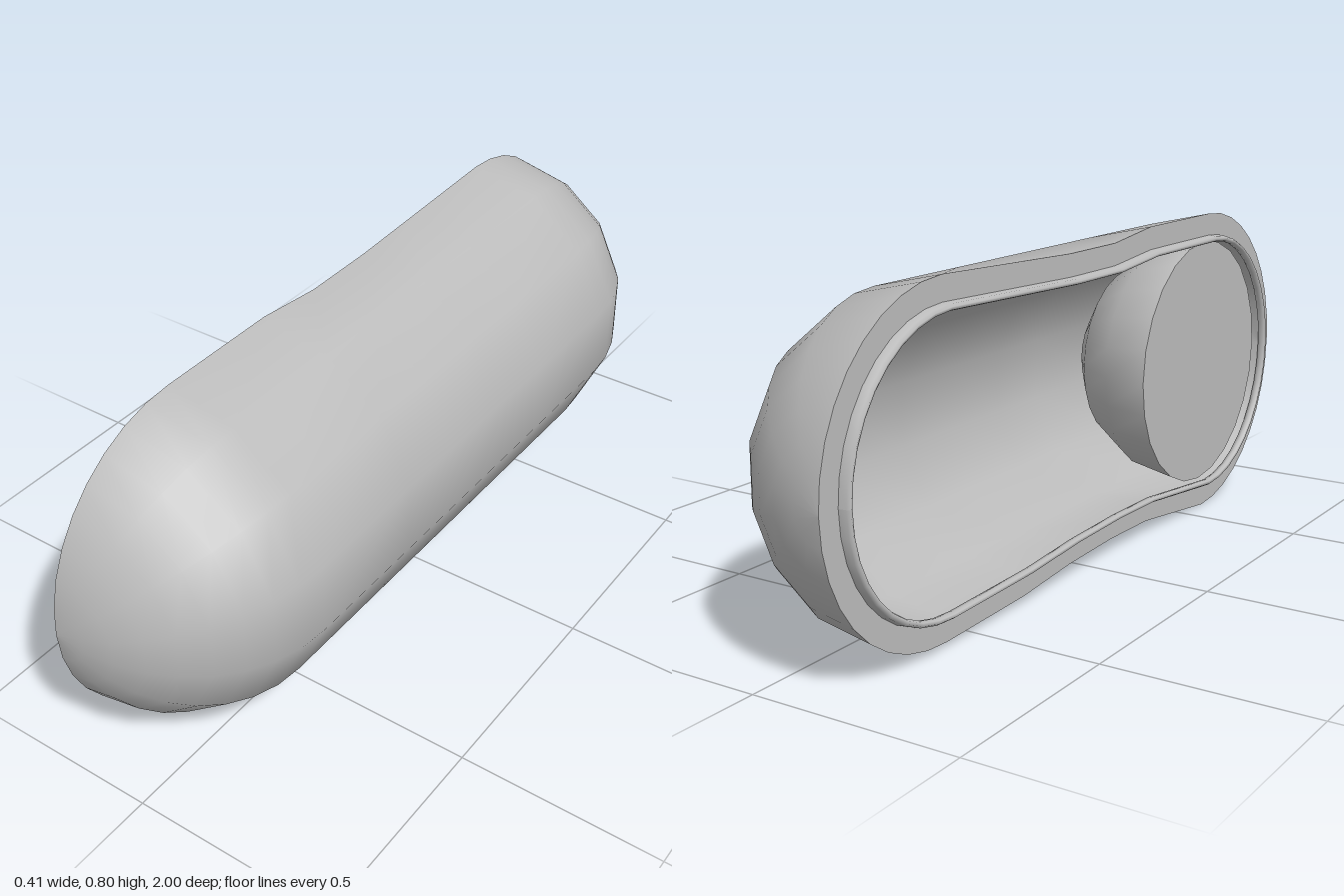
import * as THREE from 'three';

const MID = 0.4;       // height of the long axis
const FACE = -0.185;   // x of the open face
const HALF = 0.6;      // distance of each cap centre from the middle
const SIDES = 7;       // facets round the half section
const CAP = 9;         // rings per rounded end

// stations along z: centre of curvature and angle round the end cap
const stations = [];
for (let i = 0; i <= CAP; i++) stations.push([-HALF, (i / CAP - 1) * Math.PI / 2]);
for (const z of [-0.3, -0.1, 0.1, 0.28]) stations.push([z, 0]);
for (let i = 0; i <= CAP; i++) stations.push([HALF, (i / CAP) * Math.PI / 2]);

// piecewise linear lookup in [position, value] pairs
function lookup(pairs, z) {
  if (z <= pairs[0][0]) return pairs[0][1];
  for (let i = 1; i < pairs.length; i++) {
    const [z0, v0] = pairs[i - 1], [z1, v1] = pairs[i];
    if (z <= z1) return v0 + (v1 - v0) * (z - z0) / (z1 - z0);
  }
  return pairs[pairs.length - 1][1];
}

// slight waist along the rim
const topWaist = [[-0.6, 0], [-0.1, 0.02], [0.1, 0.02], [0.28, 0]];
const lowWaist = [[-1, 0], [-0.65, 0.012], [-0.3, 0.02], [0, 0.045], [0.28, 0.04], [0.6, 0]];
function rimPoint([c, a], r, x, side) {
  const z = c + r * Math.sin(a);
  const h = r * Math.cos(a);
  const pinch = lookup(side > 0 ? topWaist : lowWaist, z) * h / 0.4;
  return [x, MID + side * (h - pinch), z];
}

// smooth surface through a grid of points
function grid(nu, nv, point, flip = false) {
  const pos = [], idx = [];
  for (let i = 0; i <= nu; i++) for (let j = 0; j <= nv; j++) pos.push(...point(i, j));
  for (let i = 0; i < nu; i++) for (let j = 0; j < nv; j++) {
    const a = i * (nv + 1) + j, b = a + nv + 1;
    if (flip) idx.push(a, b + 1, b, a, a + 1, b + 1);
    else idx.push(a, b, b + 1, a, b + 1, a + 1);
  }
  const g = new THREE.BufferGeometry();
  g.setAttribute('position', new THREE.Float32BufferAttribute(pos, 3));
  g.setIndex(idx);
  g.computeVertexNormals();
  return g;
}

// half capsule of a given radius, open towards -x
function halfCapsule(r, flip) {
  return grid(stations.length - 1, SIDES, (i, j) => {
    const st = stations[i];
    if (j === 0) return rimPoint(st, r, FACE, 1);
    if (j === SIDES) return rimPoint(st, r, FACE, -1);
    const t = Math.PI * j / SIDES, h = r * Math.cos(st[1]);
    return [FACE + h * Math.sin(t), MID + h * Math.cos(t), st[0] + r * Math.sin(st[1])];
  }, flip);
}

// band swept round the open edge, profile as [radius, x] from outside in
function rimBand(profile) {
  const n = stations.length;
  const loop = [
    ...stations.map(s => [s, -1]),
    ...stations.slice(0, n - 1).reverse().map(s => [s, 1]),
  ];
  return grid(loop.length - 1, profile.length - 1, (i, j) =>
    rimPoint(loop[i][0], profile[j][0], profile[j][1], loop[i][1]));
}

export function createModel() {
  const model = new THREE.Group();
  model.name = 'halfCapsule';
  const grey = new THREE.MeshStandardMaterial({ color: 0xbcbcbc });
  grey.name = 'plain grey';
  const add = (name, geometry, parent = model) => {
    const mesh = new THREE.Mesh(geometry, grey);
    mesh.name = name;
    parent.add(mesh);
    return mesh;
  };

  // shell: outside, inside and the edge between them
  add('outerShell', halfCapsule(0.4, false));
  add('innerShell', halfCapsule(0.345, true));
  add('rimFace', rimBand([[0.4, FACE], [0.343, FACE]]));
  add('rimLip', rimBand([
    [0.343, FACE], [0.341, -0.203], [0.336, -0.21], [0.329, -0.208],
    [0.326, -0.2], [0.328, -0.19], [0.345, FACE],
  ]));

  // solid half ball seated in the front end
  const ball = new THREE.Group();
  ball.name = 'halfBall';
  ball.position.set(-0.175, MID, HALF - 0.005);
  model.add(ball);
  add('ballDome', new THREE.SphereGeometry(0.325, 24, 4, 0, Math.PI * 2, 0, Math.PI / 2)
    .rotateZ(-Math.PI / 2), ball);
  add('ballFlatFace', new THREE.CircleGeometry(0.325, 24).rotateY(-Math.PI / 2), ball);

  return model;
}
